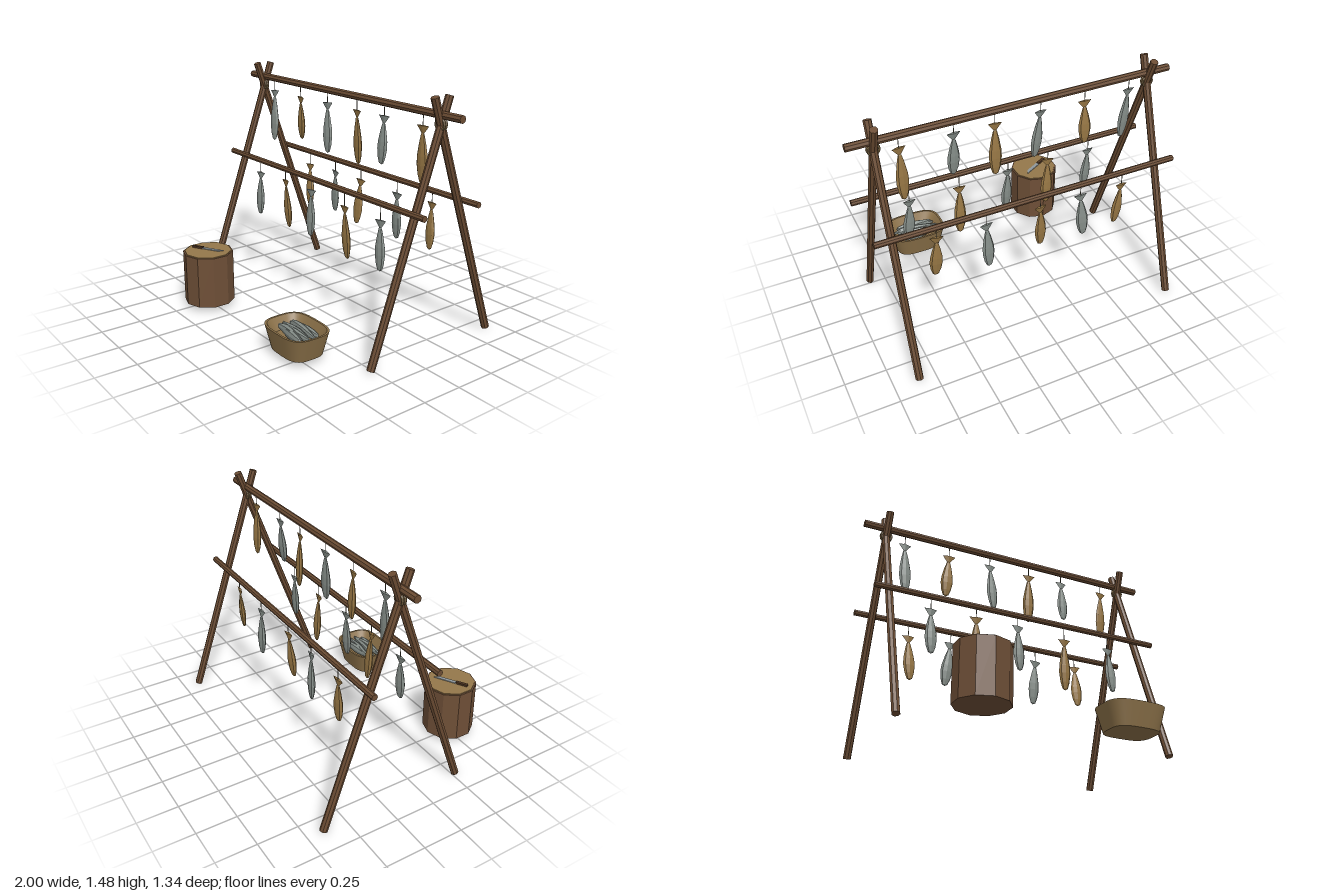
import * as THREE from 'three';

const paint = (name, color, flatShading = true) => {
  const m = new THREE.MeshStandardMaterial({ color, flatShading });
  m.name = name;
  return m;
};

export function createModel() {
  const wood = paint('pole wood', 0x6b4c33);
  const bark = paint('stump bark', 0x6e4f37);
  const cutWood = paint('cut wood', 0x94774a);
  const rope = paint('rope', 0x7a6544);
  const string = paint('string', 0x6a6455);
  const silver = paint('silver fish', 0x858d88);
  const smoked = paint('smoked fish', 0x967644);
  const wicker = paint('basket wicker', 0x8a7048, false);
  const steel = paint('blade steel', 0x8f979b);
  const grip = paint('knife handle', 0x4a3220);

  const model = new THREE.Group();
  model.name = 'fishDryingRack';

  const add = (name, geometry, material, parent = model) => {
    const mesh = new THREE.Mesh(geometry, material);
    mesh.name = name;
    parent.add(mesh);
    return mesh;
  };

  // A straight pole between two points
  const pole = (name, a, b, radius, material = wood, sides = 8) => {
    const start = new THREE.Vector3(...a), end = new THREE.Vector3(...b);
    const dir = end.clone().sub(start);
    const mesh = add(name, new THREE.CylinderGeometry(radius, radius, dir.length(), sides), material);
    mesh.position.copy(start).add(end).multiplyScalar(0.5);
    mesh.quaternion.setFromUnitVectors(new THREE.Vector3(0, 1, 0), dir.normalize());
    return mesh;
  };

  // Crossed legs with lashings at both ends
  for (const x of [-0.858, 0.848]) {
    pole('frontLeg', [x, 0.01, 0.27], [x, 1.475, -0.245], 0.024);
    pole('backLeg', [x, 0.01, -0.65], [x, 1.475, -0.135], 0.024);
    for (const dz of [-0.008, 0.008]) {
      add('lashing', new THREE.TorusGeometry(0.032, 0.008, 6, 12), rope)
        .position.set(x, 1.325, -0.19 + dz);
    }
  }

  // Ridge pole and the two side rails
  pole('ridgePole', [-1, 1.384, -0.192], [1, 1.374, -0.192], 0.023);
  pole('frontRail', [-0.96, 0.865, 0.014], [0.96, 0.862, 0.014], 0.019);
  pole('backRail', [-0.96, 0.865, -0.4], [0.96, 0.862, -0.4], 0.019);

  // Fish body, one unit long, hanging head down from the origin
  const profile = [[0.002, 0], [0.012, 0.03], [0.024, 0.2], [0.037, 0.45], [0.039, 0.62],
    [0.031, 0.82], [0.018, 0.96], [0, 1]];
  const bodyGeometry = new THREE.LatheGeometry(
    profile.map(([r, t]) => new THREE.Vector2(r, -t)).reverse(), 8);
  bodyGeometry.scale(1, 1, 0.45);
  const tailGeometry = new THREE.ConeGeometry(0.042, 0.055, 4);
  tailGeometry.rotateX(Math.PI).scale(1, 1, 0.22).translate(0, -0.0275, 0);

  const hangFish = (x, top, bottom, z, dx, dz, yaw, material, railY) => {
    const length = top - bottom;
    const fish = new THREE.Group();
    fish.name = 'hangingFish';
    const body = add('fishBody', bodyGeometry, material, fish);
    body.position.y = -0.04;
    body.scale.y = length - 0.04;
    add('fishTail', tailGeometry, material, fish);
    fish.position.set(x, top, z);
    fish.rotation.set(-dz / length, yaw, dx / length);
    model.add(fish);
    pole('hangingString', [x, top - 0.03, z], [x, railY, z], 0.0025, string, 5);
  };

  // x, tail height, head height, sideways lean, yaw for each fish in a row
  const rows = [
    { z: -0.192, y: 1.38, first: silver, second: smoked, lean: [0.02, -0.015], fish: [
      [-0.732, 1.3, 0.957, 0.015, 0.1], [-0.432, 1.295, 1.01, -0.008, -0.12],
      [-0.143, 1.3, 0.98, 0.025, 0.15], [0.145, 1.295, 0.957, 0.003, -0.1],
      [0.393, 1.3, 1.013, 0.003, 0.08], [0.71, 1.295, 0.957, -0.006, 0.15]] },
    { z: 0.014, y: 0.863, first: silver, second: smoked, lean: [0.015, -0.018], fish: [
      [-0.61, 0.78, 0.49, 0.008, 0.1], [-0.318, 0.79, 0.468, 0.015, -0.1],
      [-0.038, 0.79, 0.49, 0.008, 0.12], [0.29, 0.765, 0.43, 0.01, -0.05],
      [0.612, 0.765, 0.465, 0.018, 0.1]] },
    { z: -0.397, y: 0.863, first: smoked, second: silver, lean: [0.018, -0.015], fish: [
      [-0.605, 0.775, 0.475, 0.02, 0.1], [-0.318, 0.785, 0.49, -0.025, -0.1],
      [-0.05, 0.785, 0.482, -0.018, 0.1], [0.298, 0.775, 0.47, -0.012, 0.08],
      [0.602, 0.79, 0.5, 0.01, -0.1]] },
  ];
  for (const { z, y, first, second, lean, fish } of rows) {
    fish.forEach(([x, top, bottom, dx, yaw], i) =>
      hangFish(x, top, bottom, z, dx, lean[i % 2], yaw, i % 2 ? second : first, y));
  }

  // Chopping stump with a pale cut face
  add('stump', new THREE.CylinderGeometry(0.16, 0.16, 0.33, 10), bark).position.set(-0.485, 0.2, 0.51);
  add('stumpTop', new THREE.CylinderGeometry(0.15, 0.15, 0.008, 10), cutWood).position.set(-0.485, 0.366, 0.51);

  // Knife lying on the stump
  const knife = new THREE.Group();
  knife.name = 'knife';
  add('knifeHandle', new THREE.BoxGeometry(0.075, 0.013, 0.02), grip, knife).position.set(-0.07, 0.006, 0);
  const edge = new THREE.Shape([[-0.035, -0.012], [0.08, -0.012], [0.112, 0.01], [-0.035, 0.012]]
    .map(([x, y]) => new THREE.Vector2(x, y)));
  const blade = add('knifeBlade', new THREE.ExtrudeGeometry(edge, { depth: 0.005, bevelEnabled: false }), steel, knife);
  blade.rotation.x = -Math.PI / 2;
  blade.position.y = 0.002;
  knife.position.set(-0.495, 0.37, 0.507);
  knife.rotation.y = 0.51;
  model.add(knife);

  // Basket: rounded-rectangle loops [half width, half depth, height]
  const basket = new THREE.Group();
  basket.name = 'basket';
  basket.position.set(0.442, 0, 0.474);
  model.add(basket);
  const sides = 32;
  const loop = ([w, d, y]) => Array.from({ length: sides }, (_, i) => {
    const a = (i / sides) * Math.PI * 2, c = Math.cos(a), s = Math.sin(a);
    return [Math.sign(c) * Math.abs(c) ** 0.6 * w, y, Math.sign(s) * Math.abs(s) ** 0.6 * d];
  });
  const band = (name, lower, upper) => {
    const points = [...loop(lower), ...loop(upper)], index = [];
    for (let i = 0; i < sides; i++) {
      const j = (i + 1) % sides;
      index.push(i, i + sides, j, j, i + sides, j + sides);
    }
    const g = new THREE.BufferGeometry();
    g.setAttribute('position', new THREE.Float32BufferAttribute(points.flat(), 3));
    g.setIndex(index);
    g.computeVertexNormals();
    add(name, g, wicker, basket);
  };
  const base = [0.15, 0.115, 0.036], top = [0.188, 0.144, 0.18];
  const lip = [0.176, 0.132, 0.18], floor = [0.135, 0.098, 0.11];
  band('basketUnderside', [0, 0, 0.036], base);
  band('basketWall', base, top);
  band('basketRim', top, lip);
  band('basketInside', lip, floor);
  band('basketFloor', floor, [0, 0, 0.11]);

  // Catch in the basket: x of tail, z, yaw, direction, length
  const pile = [[-0.13, -0.045, 0.08, 1, 0.25], [0.14, -0.025, -0.1, -1, 0.26], [-0.15, -0.008, -0.06, 1, 0.28],
    [0.15, 0.012, 0.1, -1, 0.28], [-0.14, 0.03, -0.1, 1, 0.26], [0.11, 0.045, -0.05, -1, 0.22]];
  pile.forEach(([x, z, yaw, dir, length], i) => {
    const fish = add('basketFish', bodyGeometry, silver, basket);
    fish.scale.set(0.85, length, 1.15);
    fish.position.set(x, 0.146 + (i % 2) * 0.006, z);
    fish.rotation.set(0, yaw, dir * Math.PI / 2);
  });

  return model;
}
